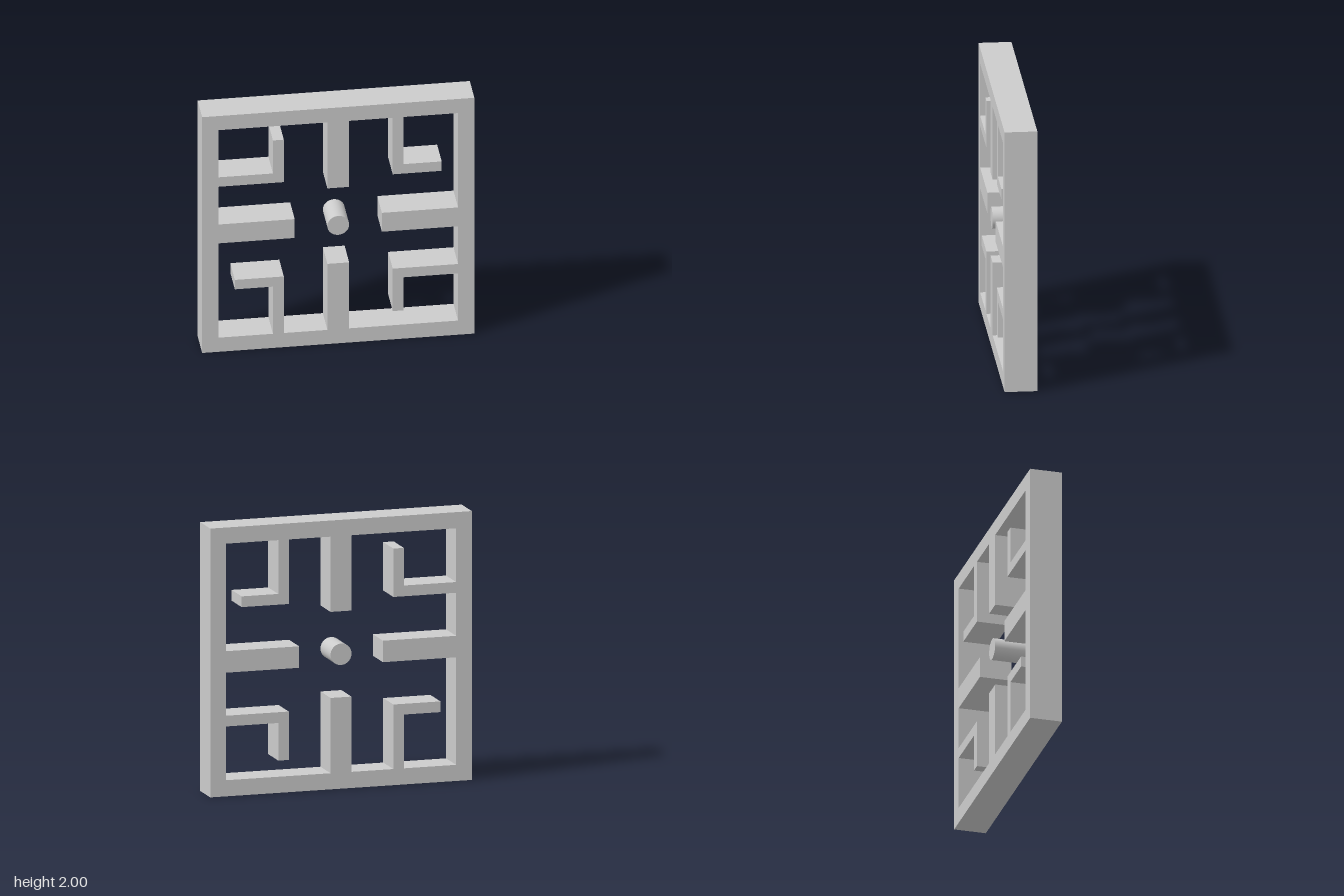
import * as THREE from 'three';

const DEPTH = 0.24;

export function createModel() {
  const group = new THREE.Group();
  group.name = 'latticePanel';
  const material = new THREE.MeshStandardMaterial({ color: 0xcccccc });

  // One side of the opening, about the panel's centre: corner, hook, then spoke
  const side = [
    [0.88, 0.88],
    [0.48, 0.88], [0.48, 0.48], [0.76, 0.48], [0.76, 0.4], [0.4, 0.4], [0.4, 0.88],
    [0.08, 0.88], [0.08, 0.32], [-0.08, 0.32], [-0.08, 0.88],
  ].map(([x, y]) => new THREE.Vector2(x, y));

  // The side is repeated at four quarter turns to close the opening
  const centre = new THREE.Vector2();
  const opening = [];
  for (let i = 0; i < 4; i++) {
    for (const p of side) opening.push(p.clone().rotateAround(centre, i * Math.PI / 2));
  }

  // Square frame with the hooks and spokes in one piece
  const outline = new THREE.Shape([[-1, -1], [1, -1], [1, 1], [-1, 1]]
    .map(([x, y]) => new THREE.Vector2(x, y)));
  outline.holes.push(new THREE.Path(opening));
  const frameGeometry = new THREE.ExtrudeGeometry(outline, { depth: DEPTH, bevelEnabled: false });
  frameGeometry.translate(0, 1, -DEPTH / 2);
  const frame = new THREE.Mesh(frameGeometry, material);
  frame.name = 'frameWithHooksAndSpokes';
  group.add(frame);

  // Free-standing round pin in the middle
  const pin = new THREE.Mesh(new THREE.CylinderGeometry(0.08, 0.08, DEPTH, 48), material);
  pin.name = 'centrePin';
  pin.rotation.x = Math.PI / 2;
  pin.position.y = 1;
  group.add(pin);

  return group;
}
